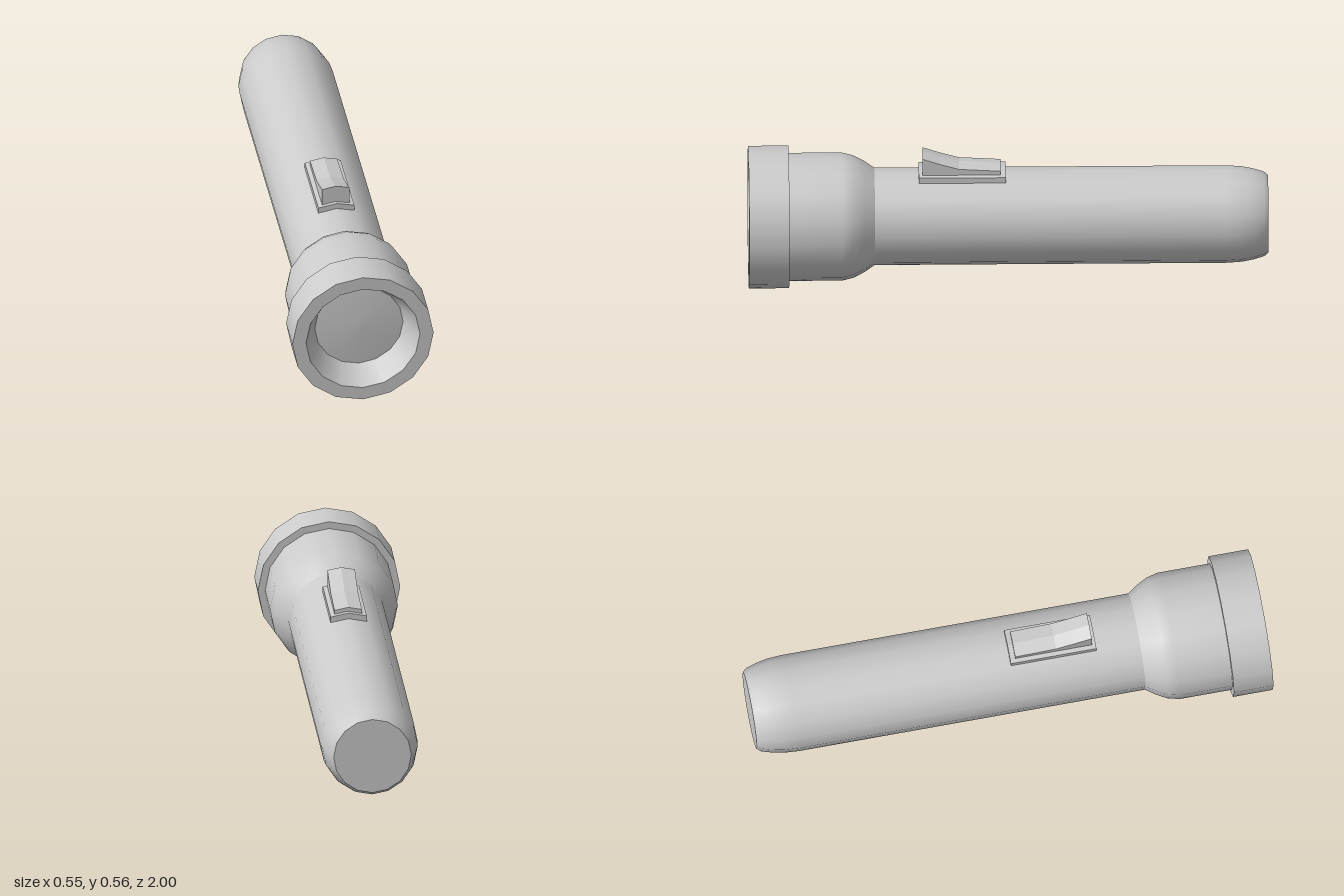
import * as THREE from 'three';

const SIDES = 16;
const AXIS_Y = 0.275;
const RIDGE_SLOPE = Math.tan(Math.PI / SIDES); // fall of the facets beside the top ridge

const material = new THREE.MeshStandardMaterial({ color: 0xcccccc });

// Turned part: profile of [radius, z] points, running back to front on outer faces
function turned(name, profile) {
  const geometry = new THREE.LatheGeometry(profile.map(([r, z]) => new THREE.Vector2(r, z)), SIDES);
  geometry.rotateX(Math.PI / 2);
  const mesh = new THREE.Mesh(geometry, material);
  mesh.name = name;
  return mesh;
}

// Side profile of [z, y] points, extruded across x and folded over the top ridge
function saddle(name, profile, halfWidth) {
  const shape = new THREE.Shape(profile.map(([z, y]) => new THREE.Vector2(z, y)));
  const geometry = new THREE.ExtrudeGeometry(shape, { depth: 2 * halfWidth, steps: 2, bevelEnabled: false });
  geometry.translate(0, 0, -halfWidth);
  geometry.rotateY(-Math.PI / 2);
  const p = geometry.attributes.position;
  for (let i = 0; i < p.count; i++) p.setY(i, p.getY(i) - Math.abs(p.getX(i)) * RIDGE_SLOPE);
  geometry.computeVertexNormals();
  const mesh = new THREE.Mesh(geometry, material);
  mesh.name = name;
  return mesh;
}

export function createModel() {
  const model = new THREE.Group();
  model.name = 'flashlight';

  // Turned body, head and lens
  const barrel = new THREE.Group();
  barrel.name = 'barrel';
  barrel.position.y = AXIS_Y;
  barrel.add(
    turned('tailCap', [[0, -1], [0.15, -1]]),
    turned('handle', [[0.15, -1], [0.163, -0.985], [0.175, -0.945], [0.184, -0.9], [0.188, -0.84], [0.188, 0.515]]),
    turned('head', [[0.188, 0.515], [0.215, 0.555], [0.236, 0.595], [0.247, 0.64], [0.247, 0.845]]),
    turned('rimBack', [[0.247, 0.845], [0.275, 0.845]]),
    turned('rim', [[0.275, 0.845], [0.275, 1]]),
    turned('rimFront', [[0.275, 1], [0.222, 1]]),
    turned('reflector', [[0.222, 1], [0.172, 0.9]]),
    turned('lens', [[0.172, 0.9], [0.09, 0.907], [0, 0.91]])
  );
  model.add(barrel);

  // Sliding switch on its base plate
  const control = new THREE.Group();
  control.name = 'switch';
  control.add(
    saddle('switchBase', [[0.01, 0.455], [0.345, 0.455], [0.345, 0.486], [0.01, 0.486]], 0.07),
    saddle('switchButton', [[0.03, 0.48], [0.33, 0.48], [0.33, 0.555], [0.26, 0.531], [0.19, 0.511], [0.03, 0.502]], 0.053)
  );
  model.add(control);

  return model;
}
